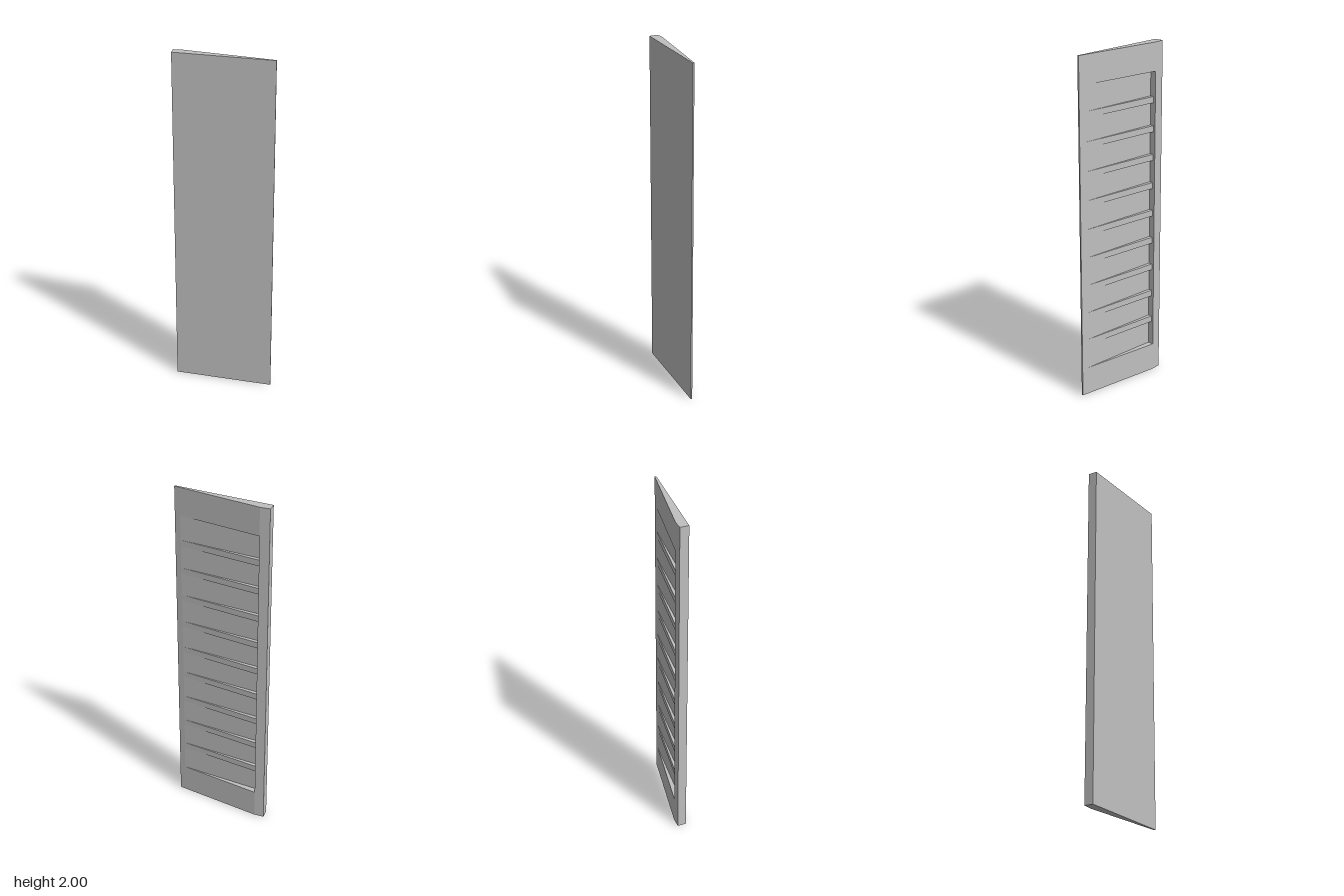
import * as THREE from 'three';

// Key corners of the plan section, as [x, z]
const RIDGE = [-0.228, -0.051];   // where the sloped back begins
const FLOOR = [-0.228, -0.016];   // deepest point of the recess floor
const RIB = [-0.228, -0.038];     // outer edge of a rib
const TIP = [0.25, 0.0356];       // where the recess runs out to the surface

// Upright prism with an x/z section, from y0 to y1
function prism(name, section, y0, y1, material) {
  const shape = new THREE.Shape(section.map(([x, z]) => new THREE.Vector2(x, -z)));
  const geometry = new THREE.ExtrudeGeometry(shape, { depth: y1 - y0, bevelEnabled: false });
  geometry.rotateX(-Math.PI / 2);
  geometry.translate(0, y0, 0);
  const mesh = new THREE.Mesh(geometry, material);
  mesh.name = name;
  return mesh;
}

export function createModel() {
  const group = new THREE.Group();
  group.name = 'ribbedWedgePanel';
  const grey = new THREE.MeshStandardMaterial({ color: 0xc0c0c0 });
  grey.name = 'lightGrey';

  // Front skin with its thick edge, full height
  const skin = [[-0.285, 0], [0.285, 0.051], [0.285, 0.042], TIP, FLOOR, RIDGE, [-0.285, -0.051]];
  group.add(prism('skin', skin, 0, 2, grey));

  // Solid ends above and below the recess
  const end = [RIDGE, TIP, FLOOR];
  group.add(prism('bottomEnd', end, 0, 0.167, grey));
  group.add(prism('topEnd', end, 1.837, 2, grey));

  // Nine tapered ribs, set slightly below the back surface
  const ribs = new THREE.Group();
  ribs.name = 'ribs';
  for (let i = 0; i < 9; i++) {
    const y = 1.002 + (i - 4) * 0.168;
    ribs.add(prism('rib', [RIB, TIP, FLOOR], y - 0.018, y + 0.018, grey));
  }
  group.add(ribs);
  return group;
}
